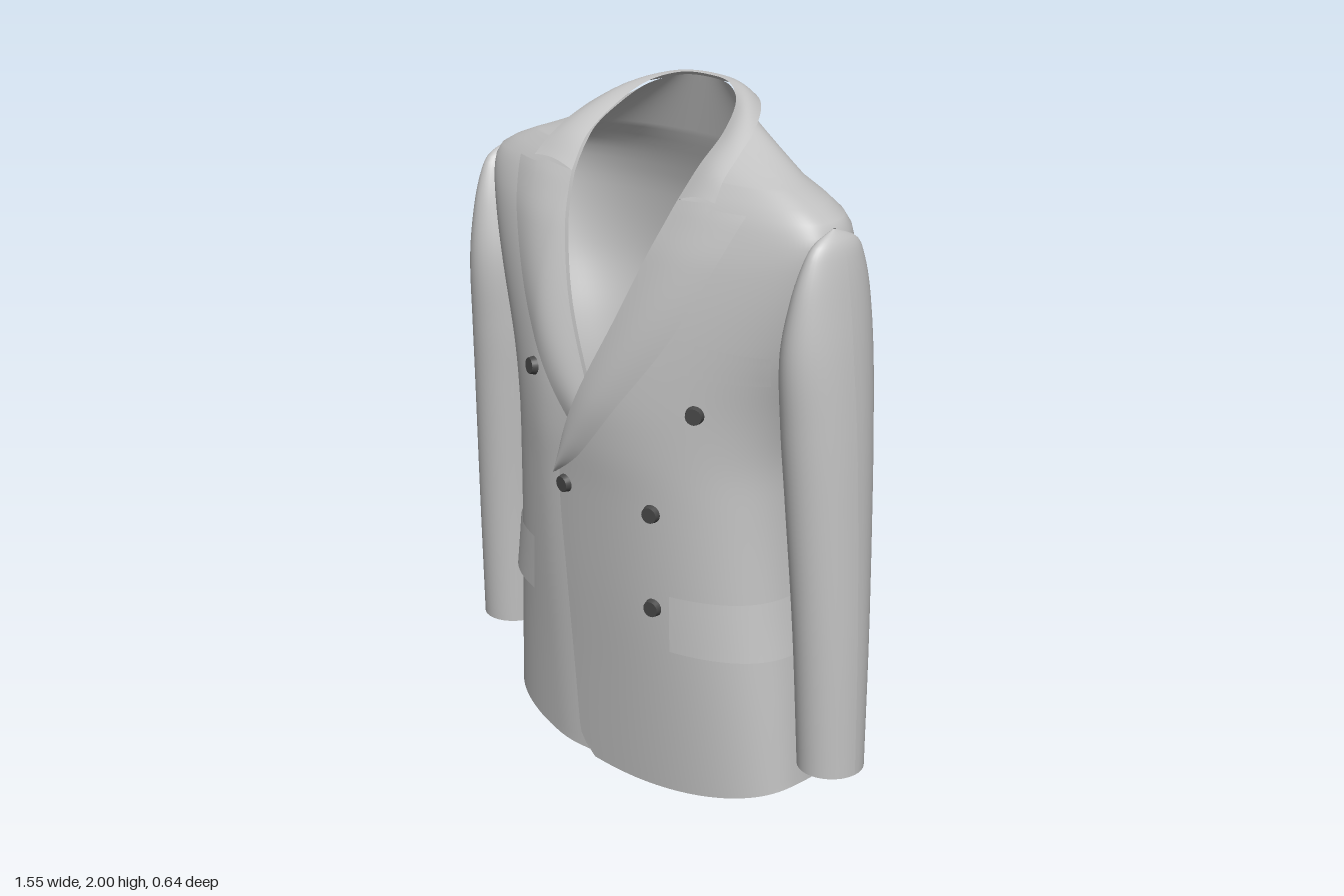
import * as THREE from 'three';

const cloth = new THREE.MeshStandardMaterial({ color: 0xc2c2c2, side: THREE.DoubleSide });
cloth.name = 'greyCloth';
const dark = new THREE.MeshStandardMaterial({ color: 0x484848 });
dark.name = 'darkButton';

const V = (x, y, z) => new THREE.Vector3(x, y, z);
const smooth = THREE.MathUtils.smoothstep;
const lerp = THREE.MathUtils.lerp;

// Smooth lookup in a table whose first column is the height
function lookup(table, y, col) {
  const n = table.length - 1;
  if (y <= table[0][0]) return table[0][col];
  if (y >= table[n][0]) return table[n][col];
  let i = 0;
  while (table[i + 1][0] < y) i++;
  const slope = k => {
    const a = table[Math.max(k - 1, 0)], b = table[Math.min(k + 1, n)];
    return (b[col] - a[col]) / (b[0] - a[0]);
  };
  const [a, b] = [table[i], table[i + 1]];
  const h = b[0] - a[0], t = (y - a[0]) / h;
  return a[col] * (1 + 2 * t) * (1 - t) ** 2 + b[col] * t * t * (3 - 2 * t)
    + h * slope(i) * t * (1 - t) ** 2 + h * slope(i + 1) * t * t * (t - 1);
}

// Open surface from a function of u and v (0 to 1)
function sheet(nu, nv, fn) {
  const pos = [], index = [];
  for (let j = 0; j <= nv; j++)
    for (let i = 0; i <= nu; i++) pos.push(...fn(i / nu, j / nv).toArray());
  for (let j = 0; j < nv; j++)
    for (let i = 0; i < nu; i++) {
      const a = j * (nu + 1) + i, b = a + nu + 1;
      index.push(a, a + 1, b, a + 1, b + 1, b);
    }
  const g = new THREE.BufferGeometry();
  g.setAttribute('position', new THREE.Float32BufferAttribute(pos, 3));
  g.setIndex(index);
  g.computeVertexNormals();
  return g;
}

// Torso sections: height, half width, front z, back z, front and back squareness
const TORSO = [
  [0, .565, .21, -.32, 2.3, 2.4], [.3, .54, .235, -.315, 2.3, 2.4],
  [.6, .51, .262, -.31, 2.3, 2.4], [.9, .487, .285, -.31, 2.3, 2.4],
  [1.05, .488, .298, -.31, 2.2, 2.4], [1.2, .52, .296, -.312, 2.1, 2.4],
  [1.4, .59, .26, -.312, 2.2, 2.5], [1.6, .64, .197, -.292, 2.6, 2.4],
  [1.7, .65, .15, -.267, 2.9, 2.3], [1.75, .615, .123, -.25, 3, 2.2], [1.8, .5, .087, -.233, 3, 2.1],
];
// Front opening: height, x of the left panel's edge
const EDGE = [
  [0, -.12], [.6, -.12], [.9, -.118], [1.05, -.07], [1.2, 0],
  [1.4, .095], [1.6, .168], [1.74, .21], [1.8, .22],
];
const edgeX = y => lookup(EDGE, y, 1) + .06 * Math.max(0, 1 - y / .08) ** 2;

// Point on the torso at angle t (0 = side, PI/2 = front), pushed outward by off
function torsoAt(t, y, off = 0, side = 1) {
  const c = Math.cos(t), s = Math.sin(t);
  const w = lookup(TORSO, y, 1);
  const d = s > 0 ? lookup(TORSO, y, 2) : -lookup(TORSO, y, 3);
  const n = lookup(TORSO, y, s > 0 ? 4 : 5);
  const k = (Math.abs(c) ** n + Math.abs(s) ** n) ** (-1 / n);
  const out = Math.hypot(c / w, s / d);
  const p = V(w * c * k + off * c / w / out, y, d * s * k + off * s / d / out);
  // the right panel tucks under the left one
  if (side < 0 && s > 0) p.z -= .03 * (1 - smooth(p.x, 0, .22)) * (1 - smooth(y, 1.6, 1.75));
  p.x *= side;
  return p;
}
function angleOf(x, y) {
  const q = x / lookup(TORSO, y, 1), n = lookup(TORSO, y, 4);
  return Math.atan2(Math.max(0, 1 - Math.abs(q) ** n) ** (1 / n), q);
}
const frontAt = (x, y, off, side = 1) => torsoAt(angleOf(x, y), y, off, side);

// Curve through points on the left, continued as a mirror image on the right
function mirroredCurve(pts) {
  const right = pts.slice(0, -1).reverse().map(p => V(-p.x, p.y, p.z));
  return new THREE.CatmullRomCurve3([...pts, ...right]);
}

function makeBody() {
  const neck = mirroredCurve([
    frontAt(.22, 1.8, 0), V(.223, 1.85, .04), V(.215, 1.9, -.035),
    V(.175, 1.955, -.115), V(.095, 1.985, -.17), V(0, 1.99, -.188),
  ]);
  const split = 60 / 72;
  return sheet(128, 72, (u, v) => {
    const side = u > .5 ? -1 : 1, f = side > 0 ? 2 * u : 2 - 2 * u;
    let y = 1.8 * Math.min(1, v / split);
    const t = lerp(angleOf(edgeX(y), y), -Math.PI / 2, f);
    y += .08 * Math.cos(t) ** 2 * Math.max(0, 1 - y / .4); // hem rises at the sides
    const p = torsoAt(t, y, 0, side);
    return v > split ? p.lerp(neck.getPoint(u), (v - split) / (1 - split)) : p;
  });
}

function makeCollar() {
  const fold = mirroredCurve([
    V(.212, 1.745, .137), V(.225, 1.83, .07), V(.217, 1.9, -.025),
    V(.175, 1.962, -.113), V(.095, 1.993, -.168), V(0, 1.997, -.187),
  ]);
  const outer = mirroredCurve([
    V(.36, 1.765, .145), V(.345, 1.815, .1), V(.33, 1.865, .03),
    V(.29, 1.92, -.075), V(.175, 1.96, -.2), V(0, 1.97, -.245),
  ]);
  return sheet(80, 8, (u, v) => {
    const p = fold.getPoint(u).lerp(outer.getPoint(u), v);
    p.y += .012 * Math.sin(Math.PI * v);
    return p;
  });
}

function makeLapel(side) {
  const outer = new THREE.SplineCurve([
    [-.117, .92], [0, 1.01], [.14, 1.18], [.29, 1.39], [.395, 1.6], [.45, 1.745],
  ].map(p => new THREE.Vector2(...p)));
  return sheet(40, 32, (u, v) => {
    const yi = lerp(.92, 1.745, u), o = outer.getPoint(u);
    const x = lerp(edgeX(yi), o.x, v);
    // top edge meets the collar, then drops away to the peak
    const notch = v < .52 ? v / .52 : Math.max(0, 1 - (v - .52) / .06);
    const y = lerp(yi, o.y, v) + .014 * notch * u ** 12;
    const p = frontAt(x, y, .006, side);
    p.z += .006 + .012 * Math.sin(Math.PI * v);
    return p;
  });
}

// Sleeve sections: height, inner x, outer x, front z, back z
const SLEEVE = [
  [.2, .59, .775, .088, -.1], [.6, .572, .77, .105, -.115], [1, .545, .757, .127, -.132],
  [1.2, .535, .747, .14, -.14], [1.4, .54, .731, .15, -.143], [1.55, .57, .712, .132, -.13],
  [1.65, .6, .694, .103, -.105], [1.7, .622, .677, .07, -.075], [1.73, .645, .65, .005, -.005],
];
function makeSleeve(side) {
  return sheet(40, 48, (u, v) => {
    const y = lerp(.2, 1.73, 1 - (1 - v) ** 1.5), a = u * Math.PI * 2;
    const [xi, xo, zf, zb] = [1, 2, 3, 4].map(c => lookup(SLEEVE, y, c));
    return V(side * ((xi + xo) / 2 + (xo - xi) / 2 * Math.cos(a)), y,
      (zf + zb) / 2 + (zf - zb) / 2 * Math.sin(a));
  });
}

// Hip pocket flap wrapping round to the side
function makeFlap(side) {
  return sheet(28, 6, (u, v) => {
    const y = lerp(.65, .482, v);
    return torsoAt(lerp(angleOf(.285, y), -.08, u), y, lerp(.005, .016, v), side);
  });
}

// Slanted chest pocket welt
function makeWelt() {
  return sheet(16, 4, (u, v) => {
    const x = lerp(lerp(.235, .525, u), lerp(.265, .54, u), v);
    const y = lerp(lerp(1.318, 1.295, u), lerp(1.408, 1.378, u), v);
    return frontAt(x, y, .006);
  });
}

function makeButton(x, y) {
  const side = x < -.12 ? -1 : 1, ax = x * side;
  const p = frontAt(ax, y, 0, side);
  const dx = frontAt(ax + .01, y, 0, side).sub(p).multiplyScalar(side);
  const dy = frontAt(ax, y + .01, 0, side).sub(p);
  const normal = dx.cross(dy).normalize();
  const button = new THREE.Mesh(new THREE.CylinderGeometry(.023, .027, .018, 24), dark);
  button.quaternion.setFromUnitVectors(V(0, 1, 0), normal);
  button.position.copy(p).addScaledVector(normal, .007);
  return button;
}

export function createModel() {
  const jacket = new THREE.Group();
  jacket.name = 'jacket';
  const add = (name, geometry) => {
    const mesh = new THREE.Mesh(geometry, cloth);
    mesh.name = name;
    jacket.add(mesh);
  };
  add('body', makeBody());
  add('collar', makeCollar());
  add('chestPocket', makeWelt());
  for (const [label, side] of [['left', 1], ['right', -1]]) {
    add(label + 'Lapel', makeLapel(side));
    add(label + 'Sleeve', makeSleeve(side));
    add(label + 'PocketFlap', makeFlap(side));
  }
  const buttons = new THREE.Group();
  buttons.name = 'buttons';
  for (const [x, y] of [[-.235, 1.2], [.365, 1.2], [-.09, .89], [.24, .89], [.23, .6]]) {
    const button = makeButton(x, y);
    button.name = 'button';
    buttons.add(button);
  }
  jacket.add(buttons);
  return jacket;
}
